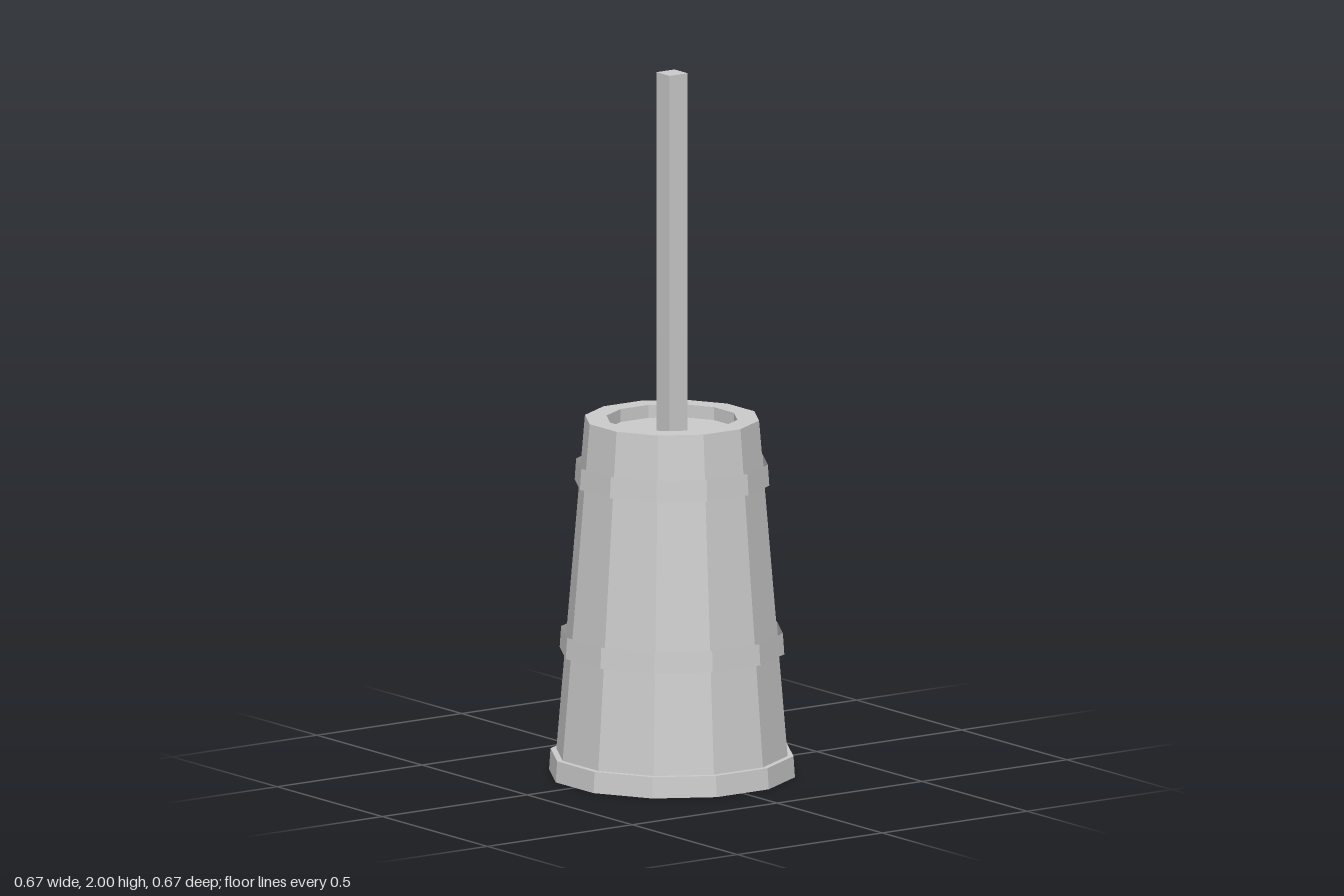
import * as THREE from 'three';

const SIDES = 12;
const TURN = Math.PI / SIDES; // puts a flat stave square to each axis
const APOTHEM = Math.cos(TURN);

// Turned 12-sided surface; radii are given to the middle of the flats
function staved(name, profile, material) {
  const points = profile.map(([r, y]) => new THREE.Vector2(r / APOTHEM, y));
  const mesh = new THREE.Mesh(new THREE.LatheGeometry(points, SIDES, TURN), material);
  mesh.name = name;
  return mesh;
}

export function createModel() {
  const group = new THREE.Group();
  group.name = 'churn';
  const solid = new THREE.MeshStandardMaterial({ color: 0xcccccc, flatShading: true });
  const thin = new THREE.MeshStandardMaterial({ color: 0xcccccc, flatShading: true, side: THREE.DoubleSide });

  // Foot, tapered barrel, rim and recessed lid in one closed profile
  group.add(staved('barrel', [
    [0, 0], [0.336, 0], [0.332, 0.06], [0.316, 0.06],
    [0.238, 1.015], [0.179, 1.015], [0.179, 0.978], [0, 0.978],
  ], solid));

  // Open hoops standing slightly off the staves
  const hoops = [
    ['lowerHoop', 0.307, 0.303, 0.35, 0.41],
    ['upperHoop', 0.266, 0.262, 0.83, 0.89],
  ];
  for (const [name, r0, r1, y0, y1] of hoops) {
    group.add(staved(name, [[r0, y0], [r1, y1]], thin));
  }

  // Square plunger handle
  const bottom = 0.97;
  const handle = new THREE.Mesh(new THREE.BoxGeometry(0.063, 2 - bottom, 0.063), solid);
  handle.position.y = (2 + bottom) / 2;
  handle.name = 'plungerHandle';
  group.add(handle);

  return group;
}
